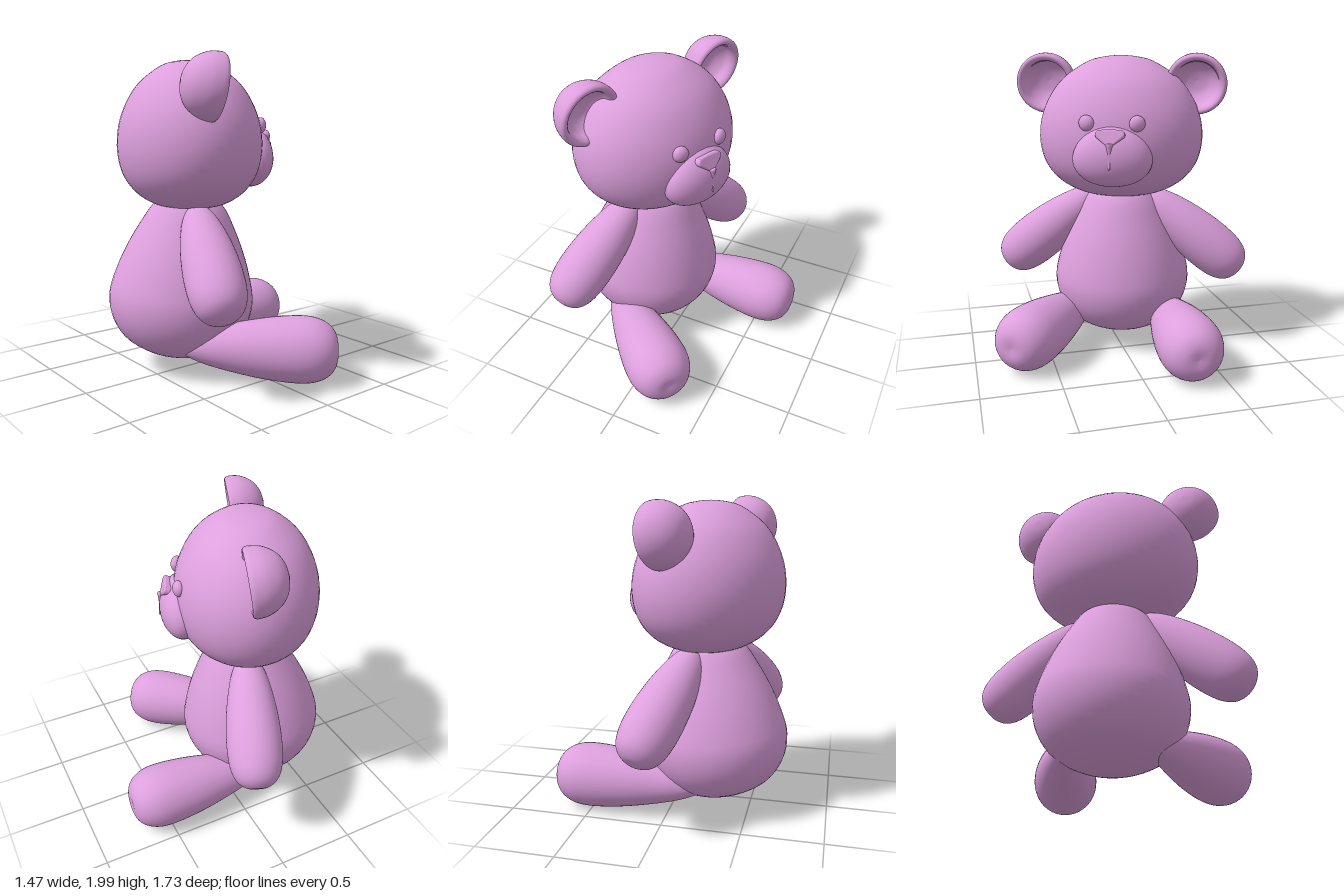
import * as THREE from 'three';

const material = new THREE.MeshStandardMaterial({ color: 0xdda0dd });

// Smooth solid of revolution from a few [radius, height] points, bottom to top
function turned(points, steps = 40, sides = 48) {
  const curve = new THREE.SplineCurve(points.map(([r, y]) => new THREE.Vector2(r, y)));
  const profile = curve.getPoints(steps).map((p) => new THREE.Vector2(Math.max(p.x, 0), p.y));
  return new THREE.LatheGeometry(profile, sides);
}

export function createModel() {
  const bear = new THREE.Group();
  bear.name = 'teddyBear';

  function add(name, geometry, x, y, z) {
    const mesh = new THREE.Mesh(geometry, material);
    mesh.name = name;
    mesh.position.set(x, y, z);
    bear.add(mesh);
    return mesh;
  }

  // A turned limb laid along the line from its root to its tip
  function addLimb(name, geometry, root, tip) {
    const dir = tip.clone().sub(root).normalize();
    const limb = add(name, geometry, root.x, root.y, root.z);
    limb.quaternion.setFromUnitVectors(new THREE.Vector3(0, 1, 0), dir);
  }

  // Pear-shaped body, leaning slightly forward
  const body = add('body', turned([
    [0, -0.36], [0.12, -0.352], [0.24, -0.315], [0.36, -0.24], [0.44, -0.12], [0.467, 0.02],
    [0.44, 0.16], [0.385, 0.32], [0.31, 0.48], [0.22, 0.63], [0.1, 0.71], [0, 0.73],
  ]), 0, 0.45, -0.06);
  body.rotation.x = 0.1;

  // Broad head with a flattened underside
  const head = add('head', turned([
    [0, 1.06], [0.2, 1.07], [0.32, 1.105], [0.43, 1.175], [0.51, 1.28], [0.546, 1.42],
    [0.535, 1.57], [0.48, 1.71], [0.38, 1.84], [0.22, 1.945], [0.1, 1.977], [0, 1.985],
  ]), 0, 0, 0);
  head.scale.z = 0.83;

  // Muzzle, a flattened ball narrower at the top
  const muzzleGeometry = new THREE.SphereGeometry(1, 40, 28);
  const p = muzzleGeometry.attributes.position;
  for (let i = 0; i < p.count; i++) {
    const y = p.getY(i);
    p.setXYZ(i, p.getX(i) * 0.25 * (1 - 0.12 * y), y * 0.195, p.getZ(i) * 0.145);
  }
  muzzleGeometry.computeVertexNormals();
  add('muzzle', muzzleGeometry, 0, 1.375, 0.4);

  // Triangular nose with rounded corners
  const noseShape = new THREE.Shape();
  noseShape.moveTo(-0.07, 0.035);
  noseShape.quadraticCurveTo(0, 0.045, 0.07, 0.035);
  noseShape.quadraticCurveTo(0.09, 0.02, 0.07, 0.005);
  noseShape.lineTo(0.015, -0.04);
  noseShape.quadraticCurveTo(0, -0.05, -0.015, -0.04);
  noseShape.lineTo(-0.07, 0.005);
  noseShape.quadraticCurveTo(-0.09, 0.02, -0.07, 0.035);
  const nose = add('nose', new THREE.ExtrudeGeometry(noseShape, {
    depth: 0.04, bevelEnabled: true, bevelSize: 0.012, bevelThickness: 0.012, bevelSegments: 4,
  }), 0, 1.488, 0.472);
  nose.rotation.x = -0.35;

  // Mouth seam, tapering downward from the nose
  const mouth = add('mouthSeam', turned([
    [0, -0.075], [0.006, -0.07], [0.008, 0], [0.016, 0.05], [0.022, 0.08], [0, 0.085],
  ], 20, 16), 0, 1.385, 0.537);
  mouth.rotation.x = -0.08;

  // Cupped ear: outer bowl, rounded rim, hollow inside
  const earGeometry = turned([
    [0, -0.2], [0.08, -0.184], [0.145, -0.14], [0.188, -0.07], [0.2, 0], [0.19, 0.027],
    [0.17, 0.028], [0.152, 0.005], [0.135, -0.05], [0.08, -0.1], [0, -0.115],
  ], 60);
  earGeometry.rotateX(Math.PI / 2);

  const eyeGeometry = new THREE.SphereGeometry(0.05, 24, 16);

  const armGeometry = turned([
    [0, 0], [0.06, 0.025], [0.115, 0.14], [0.157, 0.34], [0.173, 0.54],
    [0.163, 0.7], [0.125, 0.795], [0.06, 0.84], [0, 0.843],
  ]);

  const legGeometry = turned([
    [0, 0], [0.05, 0.02], [0.1, 0.13], [0.145, 0.3], [0.187, 0.52], [0.206, 0.72],
    [0.195, 0.84], [0.15, 0.925], [0.08, 0.965], [0, 0.962],
  ]);

  // Paired parts
  for (const [side, s] of [['left', 1], ['right', -1]]) {
    const ear = add(side + 'Ear', earGeometry, s * 0.5, 1.8, 0.03);
    ear.rotation.x = 0.16;

    const eye = add(side + 'Eye', eyeGeometry, s * 0.158, 1.58, 0.425);
    eye.scale.z = 0.7;
    eye.rotation.y = s * 0.3;

    addLimb(side + 'Arm', armGeometry,
      new THREE.Vector3(s * 0.16, 1.07, 0), new THREE.Vector3(s * 0.82, 0.54, -0.005));
    addLimb(side + 'Leg', legGeometry,
      new THREE.Vector3(s * 0.27, 0.23, -0.13), new THREE.Vector3(s * 0.583, 0.215, 0.79));
  }

  // The bear sits turned toward its side
  bear.rotation.y = THREE.MathUtils.degToRad(68);
  bear.position.set(-0.21, 0, -0.04);

  const model = new THREE.Group();
  model.name = 'model';
  model.add(bear);
  return model;
}
